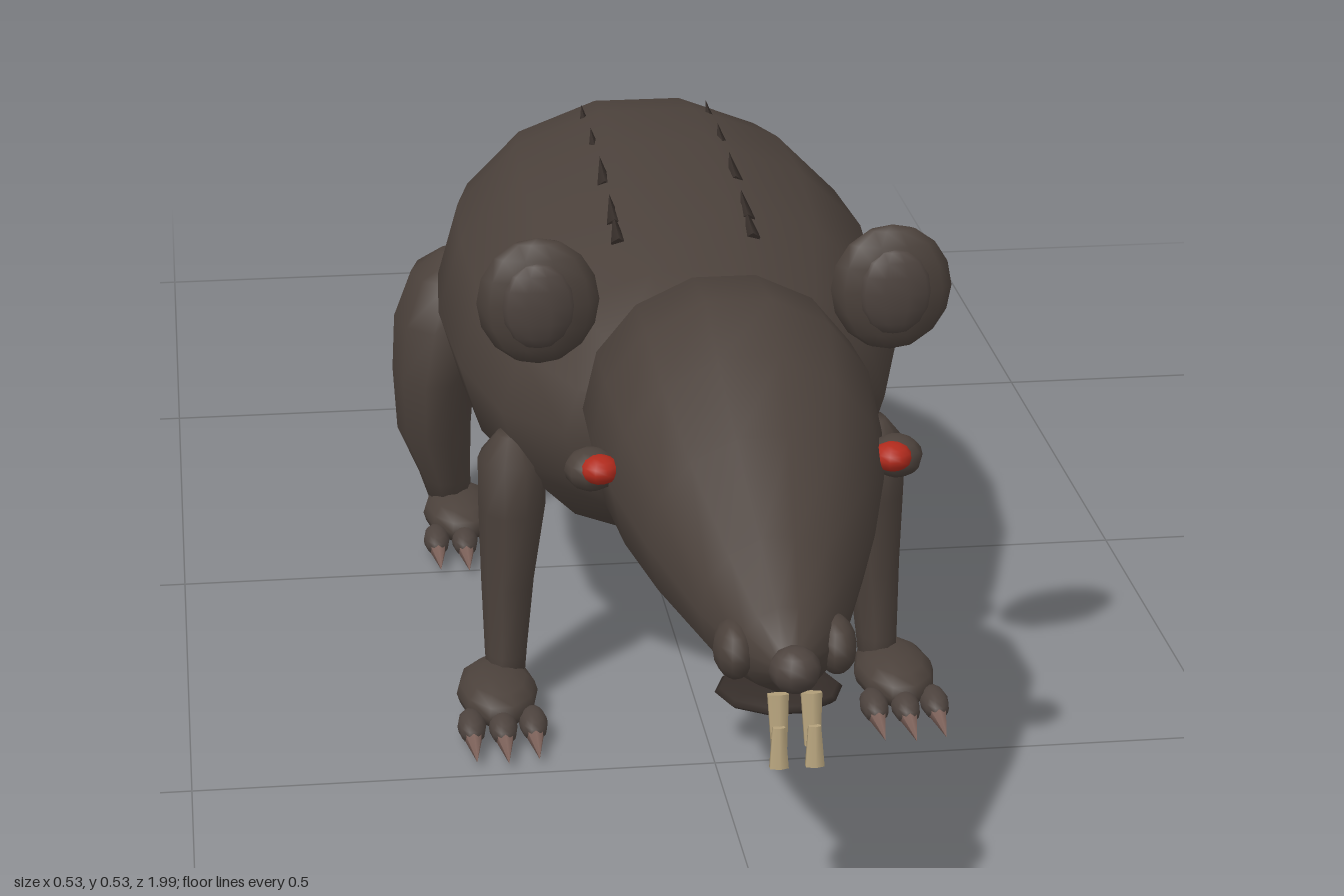
import * as THREE from 'three';

const mat = (name, color) => new THREE.MeshStandardMaterial({ name, color });

// Skin through elliptical rings, with closed ends.
// axis 'z': rings [x, z, bottom, top, halfWidth], running front to back
// axis 'y': rings [x, y, z, halfWidth, halfDepth], running top to bottom
function loft(rings, axis, sides) {
  const pos = [], idx = [], n = rings.length;
  const point = (r, c, s) => axis === 'z'
    ? [r[0] + c * r[4], (r[2] + r[3]) / 2 + s * (r[3] - r[2]) / 2, r[1]]
    : [r[0] + c * r[3], r[1], r[2] - s * r[4]];
  for (const r of rings)
    for (let i = 0; i < sides; i++) {
      const a = (i / sides) * Math.PI * 2;
      pos.push(...point(r, Math.cos(a), Math.sin(a)));
    }
  pos.push(...point(rings[0], 0, 0), ...point(rings[n - 1], 0, 0));
  for (let i = 0; i < sides; i++) {
    const k = (i + 1) % sides, last = (n - 1) * sides;
    for (let j = 0; j < n - 1; j++) {
      const a = j * sides + i, b = j * sides + k;
      idx.push(a, a + sides, b, b, a + sides, b + sides);
    }
    idx.push(n * sides, i, k, n * sides + 1, last + k, last + i);
  }
  const g = new THREE.BufferGeometry();
  g.setAttribute('position', new THREE.Float32BufferAttribute(pos, 3));
  g.setIndex(idx);
  g.computeVertexNormals();
  return g;
}

export function createModel() {
  const rat = new THREE.Group();
  rat.name = 'rat';
  const fur = mat('fur', 0x4b413b);
  const skin = mat('skin', 0x4d433e);
  const spine = mat('spines', 0x352d29);
  const claw = mat('claws', 0x7d625a);
  const tooth = mat('teeth', 0xb5a27c);
  const red = mat('eyes', 0xb02a1c);

  const add = (name, geo, material, p = [0, 0, 0], s = [1, 1, 1], r = [0, 0, 0]) => {
    const m = new THREE.Mesh(geo, material);
    m.name = name;
    m.position.set(...p);
    m.scale.set(...s);
    m.rotation.set(...r);
    rat.add(m);
    return m;
  };
  const ball = new THREE.SphereGeometry(1, 10, 8);

  // Body flowing into the curved tail
  add('bodyAndTail', loft([
    [0, 0.47, 0.29, 0.39, 0.06],
    [0, 0.42, 0.215, 0.42, 0.135],
    [0, 0.34, 0.172, 0.452, 0.188],
    [0, 0.22, 0.155, 0.483, 0.22],
    [0, 0.08, 0.15, 0.502, 0.23],
    [0, -0.04, 0.15, 0.503, 0.222],
    [0, -0.13, 0.165, 0.488, 0.203],
    [0, -0.21, 0.198, 0.452, 0.17],
    [-0.005, -0.3, 0.25, 0.41, 0.118],
    [-0.01, -0.39, 0.268, 0.372, 0.066],
    [0.028, -0.5, 0.274, 0.337, 0.037],
    [0.065, -0.6, 0.272, 0.304, 0.019],
    [0.098, -0.7, 0.252, 0.279, 0.015],
    [0.126, -0.79, 0.229, 0.253, 0.013],
    [0.13, -0.88, 0.208, 0.224, 0.009],
    [0.121, -1.0, 0.18, 0.183, 0.002],
  ], 'z', 14), fur);

  // Head tapering to the snout
  add('head', loft([
    [0, 0.965, 0.3, 0.33, 0.016],
    [0, 0.93, 0.274, 0.352, 0.04],
    [0, 0.87, 0.257, 0.39, 0.066],
    [0, 0.78, 0.253, 0.447, 0.1],
    [0, 0.7, 0.251, 0.492, 0.122],
    [0, 0.63, 0.253, 0.522, 0.132],
    [0, 0.54, 0.262, 0.514, 0.13],
    [0, 0.48, 0.262, 0.468, 0.122],
    [0, 0.41, 0.26, 0.41, 0.11],
    [0, 0.36, 0.27, 0.37, 0.08],
  ], 'z', 14), fur);

  add('nose', ball, skin, [0, 0.313, 0.97], [0.022, 0.02, 0.022]);
  add('mouth', ball, spine, [0, 0.257, 0.885], [0.055, 0.009, 0.05]);

  for (const side of [1, -1]) {
    const label = side > 0 ? 'left' : 'right';

    // Ears: flattened lobe with a raised inner disc
    add(label + 'Ear', ball, fur, [side * 0.165, 0.475, 0.485], [0.057, 0.061, 0.022]);
    add(label + 'InnerEar', ball, skin, [side * 0.166, 0.475, 0.498], [0.036, 0.042, 0.014]);

    // Eyes in dark sockets
    add(label + 'EyeSocket', ball, fur, [side * 0.137, 0.382, 0.675], [0.024, 0.019, 0.026]);
    add(label + 'Eye', ball, red, [side * 0.131, 0.387, 0.69], [0.018, 0.013, 0.018]);

    // Snout pads and long front teeth
    add(label + 'SnoutPad', ball, fur, [side * 0.043, 0.31, 0.915], [0.018, 0.025, 0.032]);
    add(label + 'UpperTooth', new THREE.CylinderGeometry(0.01, 0.0075, 0.045, 6), tooth,
      [side * 0.014, 0.27, 0.975], [1, 1, 0.7], [-0.2, 0, 0]);
    add(label + 'LowerTooth', new THREE.CylinderGeometry(0.006, 0.009, 0.035, 6), tooth,
      [side * 0.015, 0.25, 0.985], [1, 1, 0.7], [-0.1, 0, 0]);

    // Front leg
    add(label + 'FrontLeg', loft([
      [side * 0.178, 0.285, 0.325, 0.014, 0.018],
      [side * 0.178, 0.262, 0.328, 0.033, 0.043],
      [side * 0.178, 0.21, 0.327, 0.033, 0.043],
      [side * 0.183, 0.13, 0.324, 0.026, 0.037],
      [side * 0.186, 0.06, 0.33, 0.021, 0.034],
      [side * 0.187, 0.02, 0.335, 0.018, 0.028],
    ], 'y', 10), fur);

    // Hind leg with a broad thigh
    add(label + 'HindLeg', loft([
      [side * 0.19, 0.322, -0.13, 0.025, 0.025],
      [side * 0.195, 0.3, -0.132, 0.05, 0.06],
      [side * 0.208, 0.25, -0.133, 0.056, 0.074],
      [side * 0.222, 0.19, -0.133, 0.045, 0.073],
      [side * 0.223, 0.12, -0.135, 0.04, 0.062],
      [side * 0.212, 0.065, -0.14, 0.028, 0.048],
      [side * 0.205, 0.025, -0.145, 0.022, 0.038],
    ], 'y', 10), fur);

    // Paws with three toes and claws each
    for (const [name, z] of [['Front', 0.365], ['Hind', -0.11]]) {
      add(label + name + 'Paw', ball, fur, [side * 0.198, 0.028, z], [0.04, 0.025, 0.068]);
      for (const t of [-1, 0, 1]) {
        const x = side * 0.198 + t * 0.03, tz = z + 0.066 - Math.abs(t) * 0.006;
        add(label + name + 'Toe', ball, skin, [x, 0.02, tz], [0.014, 0.014, 0.03]);
        add(label + name + 'Claw', new THREE.ConeGeometry(0.01, 0.05, 6), claw,
          [x, 0.015, tz + 0.04], [1, 1, 1], [Math.PI / 2 + 0.12, 0, 0]);
      }
    }

    // Row of small spines lying back along the spine
    [0.25, 0.215, 0.13, 0.045, -0.045].forEach((z, i) => {
      const y = [0.465, 0.473, 0.486, 0.491, 0.489][i];
      add(label + 'BackSpine', new THREE.ConeGeometry(0.008, 0.05, 5), spine,
        [side * 0.066, y, z], [1, 1, 1], [-1.2, 0, 0]);
    });
  }
  return rat;
}
